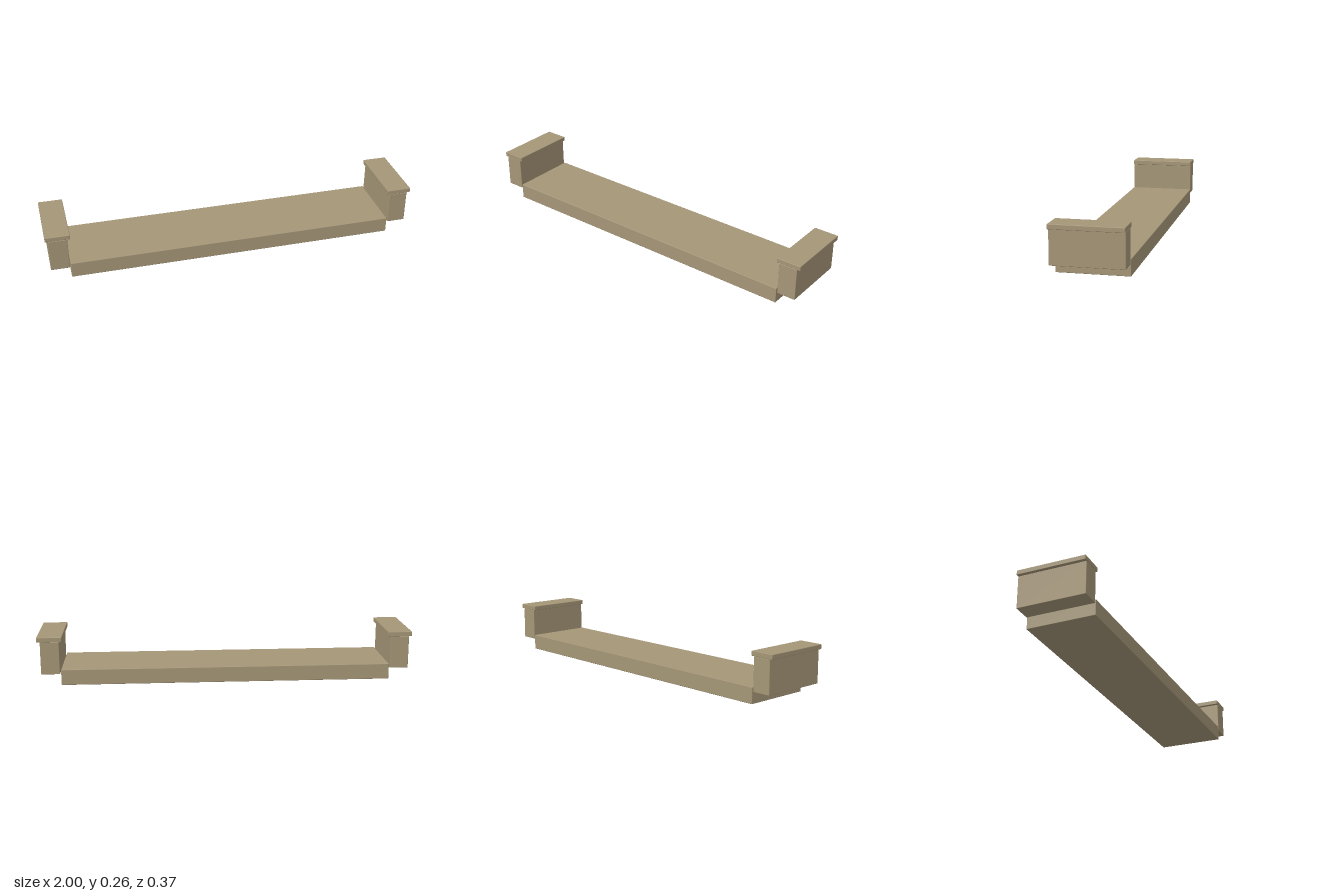
import * as THREE from 'three';
import { RoundedBoxGeometry } from 'three/addons/geometries/RoundedBoxGeometry.js';

export function createModel() {
  const model = new THREE.Group();
  model.name = 'lowBench';
  const wood = new THREE.MeshStandardMaterial({ color: 0xa59677 });
  wood.name = 'tan wood';

  // Slightly eased block given by its extents; z is centred
  function block(name, x0, x1, y0, y1, depth) {
    const geometry = new RoundedBoxGeometry(x1 - x0, y1 - y0, depth, 1, 0.003);
    const mesh = new THREE.Mesh(geometry, wood);
    mesh.name = name;
    mesh.position.set((x0 + x1) / 2, (y0 + y1) / 2, 0);
    model.add(mesh);
  }

  // Long flat deck
  block('deck', -0.881, 0.877, 0, 0.084, 0.366);

  // Raised end blocks, each with an overhanging cap
  block('rightEndBlock', -0.985, -0.886, 0.06, 0.235, 0.364);
  block('rightCap', -1, -0.871, 0.235, 0.26, 0.366);
  block('leftEndBlock', 0.882, 0.982, 0.06, 0.235, 0.364);
  block('leftCap', 0.868, 1, 0.235, 0.26, 0.366);

  return model;
}
